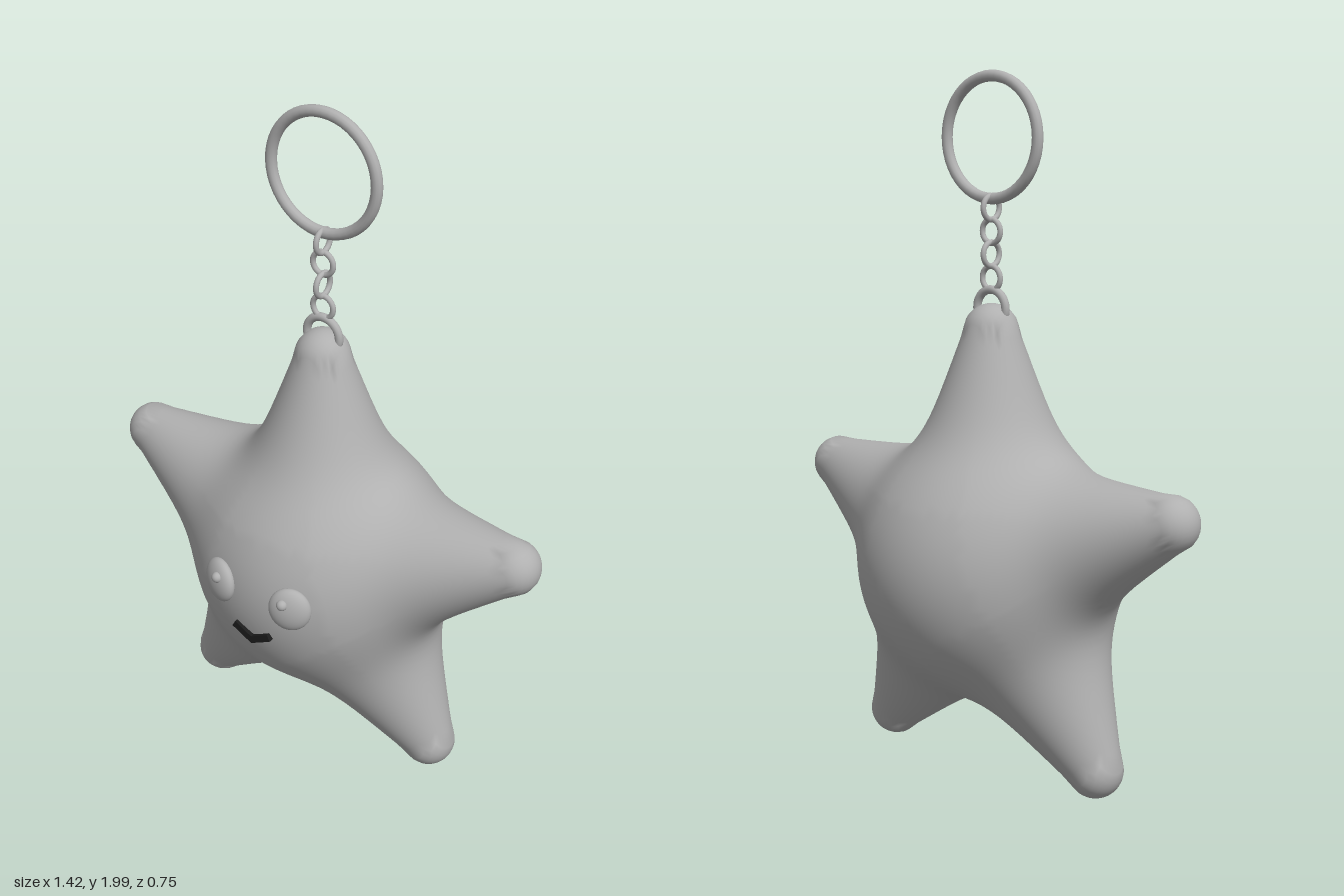
import * as THREE from 'three';

const CENTER_Y = 0.62;
const armDirs = [0, 1, 2, 3, 4].map((i) => {
  const a = Math.PI / 2 + (i * Math.PI * 2) / 5;
  return new THREE.Vector3(Math.cos(a), Math.sin(a), 0);
});

// Distance to a ball softly merged with five tapered, round-ended arms
function starDistance(p) {
  const k = 0.04, inner = 0.2, outer = 0.66;
  let sum = Math.exp(-(Math.hypot(p.x, p.y, p.z + 0.01) - 0.36) / k);
  for (const d of armDirs) {
    const s = THREE.MathUtils.clamp(p.dot(d), inner, outer);
    const radius = THREE.MathUtils.mapLinear(s, inner, outer, 0.25, 0.08);
    sum += Math.exp(-(Math.hypot(p.x - d.x * s, p.y - d.y * s, p.z) - radius) / k);
  }
  return -k * Math.log(sum);
}

// Point where a ray from the star's centre leaves the surface
function surfacePoint(dir) {
  let lo = 0.2, hi = 0.9;
  for (let i = 0; i < 24; i++) {
    const mid = (lo + hi) / 2;
    if (starDistance(dir.clone().multiplyScalar(mid)) < 0) lo = mid;
    else hi = mid;
  }
  return dir.clone().multiplyScalar(lo);
}

function surfaceNormal(p) {
  const e = 0.002;
  const slope = (x, y, z) => {
    const o = new THREE.Vector3(x, y, z);
    return starDistance(p.clone().add(o)) - starDistance(p.clone().sub(o));
  };
  return new THREE.Vector3(slope(e, 0, 0), slope(0, e, 0), slope(0, 0, e)).normalize();
}

// Sphere grid with poles on z, its lines crowded towards the arms
function starGeometry() {
  const cols = 160, rows = 64;
  const geo = new THREE.SphereGeometry(1, cols, rows);
  const pos = geo.attributes.position, nor = geo.attributes.normal;
  for (let j = 0, n = 0; j <= rows; j++) {
    const t = 1 - (2 * j) / rows;
    const lat = (Math.PI / 2) * (0.35 * t + 0.65 * t ** 3);
    for (let i = 0; i <= cols; i++, n++) {
      const u = (i / cols) * Math.PI * 2;
      const a = Math.PI / 2 + u - (0.75 * Math.sin(5 * u)) / 5;
      const dir = new THREE.Vector3(Math.cos(lat) * Math.cos(a), Math.cos(lat) * Math.sin(a), Math.sin(lat));
      const p = surfacePoint(dir);
      const normal = surfaceNormal(p);
      pos.setXYZ(n, p.x, p.y, p.z);
      nor.setXYZ(n, normal.x, normal.y, normal.z);
    }
  }
  return geo;
}

export function createModel() {
  const group = new THREE.Group();
  const grey = new THREE.MeshStandardMaterial({ name: 'grey', color: 0xb0b0b0 });
  const black = new THREE.MeshStandardMaterial({ name: 'black', color: 0x1c1c1c });

  const add = (name, geo, mat, x, y, z) => {
    const mesh = new THREE.Mesh(geo, mat);
    mesh.name = name;
    mesh.position.set(x, y, z);
    group.add(mesh);
    return mesh;
  };

  add('starBody', starGeometry(), grey, 0, CENTER_Y, 0);

  // Eyes lie on the curved face, each with a small raised pupil
  for (const side of [-1, 1]) {
    const name = side > 0 ? 'left' : 'right';
    const p = surfacePoint(new THREE.Vector3(side * 0.12, 0.045, 0.33).normalize());
    const eye = add(name + 'Eye', new THREE.SphereGeometry(1, 32, 20), grey, p.x, p.y + CENTER_Y, p.z);
    eye.scale.set(0.062, 0.066, 0.03);
    eye.rotation.set(-0.08, side * 0.35, 0);
    add(name + 'Pupil', new THREE.SphereGeometry(0.016, 16, 12), grey, side * 0.113, 0.692, 0.36);
  }

  // Chevron mouth
  const outline = [[-0.066, 0.013], [0, -0.022], [0.066, 0.013], [0.056, 0.032], [0, 0.002], [-0.056, 0.032]];
  const mouthShape = new THREE.Shape(outline.map(([x, y]) => new THREE.Vector2(x, y)));
  add('mouth', new THREE.ExtrudeGeometry(mouthShape, { depth: 0.025, bevelEnabled: false }), black, 0, 0.527, 0.332);

  // Loop through the top arm, chain links turned alternately, and key ring
  const ring = (name, y, radius, tube, turned) => {
    const mesh = add(name, new THREE.TorusGeometry(radius, tube, 12, 48), grey, 0, y, 0);
    if (turned) mesh.rotation.y = Math.PI / 2;
  };
  ring('topLoop', 1.345, 0.053, 0.012, false);
  [1.43, 1.497, 1.56, 1.625].forEach((y, i) => ring('chainLink' + (i + 1), y, 0.033, 0.008, i % 2 === 1));
  ring('keyRing', 1.817, 0.167, 0.016, false);

  return group;
}
